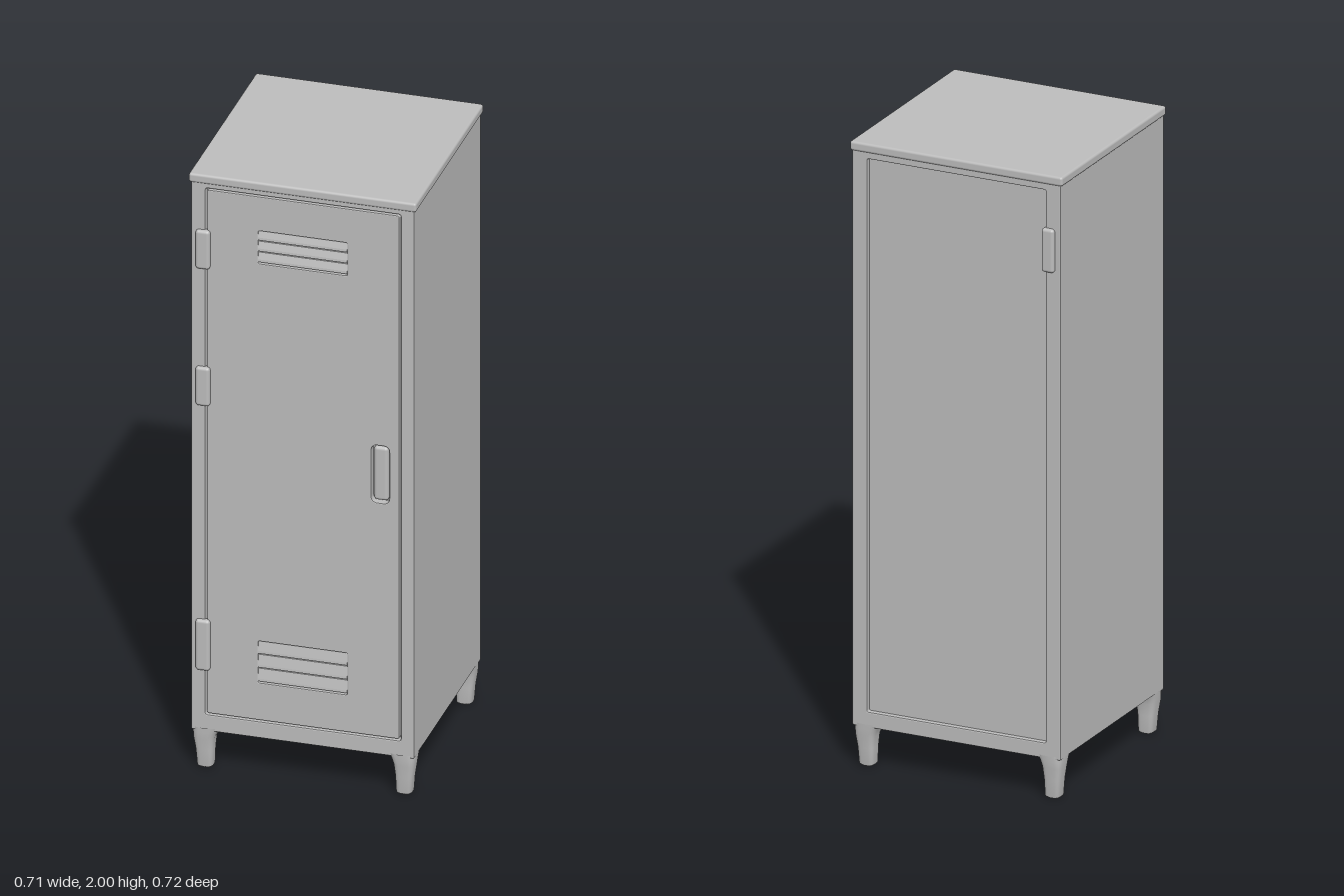
import * as THREE from 'three';
import { RoundedBoxGeometry } from 'three/addons/geometries/RoundedBoxGeometry.js';

const W = 0.35, BOTTOM = 0.13, TOP = 2;

// Rounded rectangle outline between two corners
function rect(x0, y0, x1, y1, r, path = new THREE.Shape()) {
  path.moveTo(x0 + r, y0);
  path.lineTo(x1 - r, y0);
  path.quadraticCurveTo(x1, y0, x1, y0 + r);
  path.lineTo(x1, y1 - r);
  path.quadraticCurveTo(x1, y1, x1 - r, y1);
  path.lineTo(x0 + r, y1);
  path.quadraticCurveTo(x0, y1, x0, y1 - r);
  path.lineTo(x0, y0 + r);
  path.quadraticCurveTo(x0, y0, x0 + r, y0);
  return path;
}

// Sheet with softened edges whose outer face lies at zFront
function sheet(shape, depth, zFront, bevel = 0.004) {
  const g = new THREE.ExtrudeGeometry(shape, {
    depth: depth - 2 * bevel, bevelEnabled: true, bevelThickness: bevel,
    bevelSize: bevel, bevelOffset: -bevel, bevelSegments: 2, curveSegments: 6,
  });
  return g.translate(0, 0, zFront - depth + bevel);
}

export function createModel() {
  const model = new THREE.Group();
  model.name = 'locker';
  const metal = new THREE.MeshStandardMaterial({ color: 0xbcbcbc });
  metal.name = 'greyMetal';

  const add = (name, geometry, x = 0, y = 0, z = 0) => {
    const m = new THREE.Mesh(geometry, metal);
    m.name = name;
    m.position.set(x, y, z);
    model.add(m);
    return m;
  };

  // Cabinet body and slightly overhanging roof
  add('body', new THREE.BoxGeometry(2 * W, TOP - BOTTOM - 0.01, 0.65), 0, (TOP + BOTTOM) / 2, -0.005);
  add('roof', new RoundedBoxGeometry(0.714, 0.03, 0.7, 2, 0.008), 0, TOP - 0.015, -0.001);

  // Frames round the front door and the recessed back panel
  const frame = rect(-W, BOTTOM, W, TOP - 0.005, 0.006);
  frame.holes.push(rect(-0.305, 0.185, 0.308, 1.955, 0.008, new THREE.Path()));
  add('frontFrame', sheet(frame, 0.04, 0.345));
  const backFrame = rect(-W, BOTTOM, W, TOP - 0.005, 0.006);
  backFrame.holes.push(rect(-0.3, 0.18, 0.3, 1.95, 0.006, new THREE.Path()));
  add('backFrame', sheet(backFrame, 0.025, 0.347)).rotation.y = Math.PI;

  // Door with openings for the vents and the handle recess
  const vents = [[1.725, 1.835], [0.315, 0.455]];
  const door = rect(-0.3, 0.19, 0.303, 1.95, 0.008);
  for (const [y0, y1] of vents) door.holes.push(rect(-0.14, y0, 0.14, y1, 0.006, new THREE.Path()));
  door.holes.push(rect(0.215, 0.975, 0.272, 1.168, 0.02, new THREE.Path()));
  add('door', sheet(door, 0.03, 0.344, 0.003));

  // Sloping louvres
  for (const [y0, y1] of vents) {
    const pitch = (y1 - y0) / 3;
    const profile = new THREE.Shape([
      new THREE.Vector2(0, 0.007), new THREE.Vector2(0.028, 0.007),
      new THREE.Vector2(0.027, 0.015), new THREE.Vector2(0.02, pitch), new THREE.Vector2(0, pitch),
    ]);
    const g = new THREE.ExtrudeGeometry(profile, { depth: 0.28, bevelEnabled: false });
    g.rotateY(-Math.PI / 2).translate(0.14, 0, 0);
    for (let i = 0; i < 3; i++) add('louvre', g, 0, y0 + i * pitch, 0.318);
  }

  // Latch plate set in the handle recess
  add('handle', new RoundedBoxGeometry(0.046, 0.18, 0.025, 3, 0.011), 0.244, 1.072, 0.329);

  // Hinges along the right-hand edge, front and back
  for (const [y, h] of [[1.75, 0.13], [1.29, 0.13], [0.42, 0.17]])
    add('hinge', new RoundedBoxGeometry(0.045, h, 0.026, 3, 0.01), -0.312, y, 0.344);
  add('backHinge', new RoundedBoxGeometry(0.042, 0.14, 0.026, 3, 0.01), -0.31, 1.76, -0.346);

  // Tapered feet with a flared top, leaning towards the outer corners
  const sections = [[0, 0.018, 0.312], [0.006, 0.025, 0.312], [0.06, 0.028, 0.313],
    [0.1, 0.033, 0.314], [0.122, 0.038, 0.311], [0.14, 0.044, 0.306]];
  const n = 24, pos = [], index = [];
  for (const [y, r, c] of sections) {
    for (let i = 0; i < n; i++) {
      const a = (i / n) * Math.PI * 2, ca = Math.cos(a), sa = Math.sin(a);
      pos.push(c + r * Math.sign(ca) * Math.abs(ca) ** 0.6, y, c + r * Math.sign(sa) * Math.abs(sa) ** 0.6);
    }
  }
  for (let s = 0; s < sections.length - 1; s++) {
    for (let i = 0; i < n; i++) {
      const a = s * n + i, b = s * n + (i + 1) % n;
      index.push(a, a + n, b, b, a + n, b + n);
    }
  }
  const base = pos.length / 3;
  pos.push(0.312, 0, 0.312);
  for (let i = 0; i < n; i++) index.push(base, i, (i + 1) % n);
  const foot = new THREE.BufferGeometry();
  foot.setAttribute('position', new THREE.Float32BufferAttribute(pos, 3));
  foot.setIndex(index);
  foot.computeVertexNormals();
  for (let i = 0; i < 4; i++) add('foot', foot).rotation.y = i * Math.PI / 2;

  return model;
}
